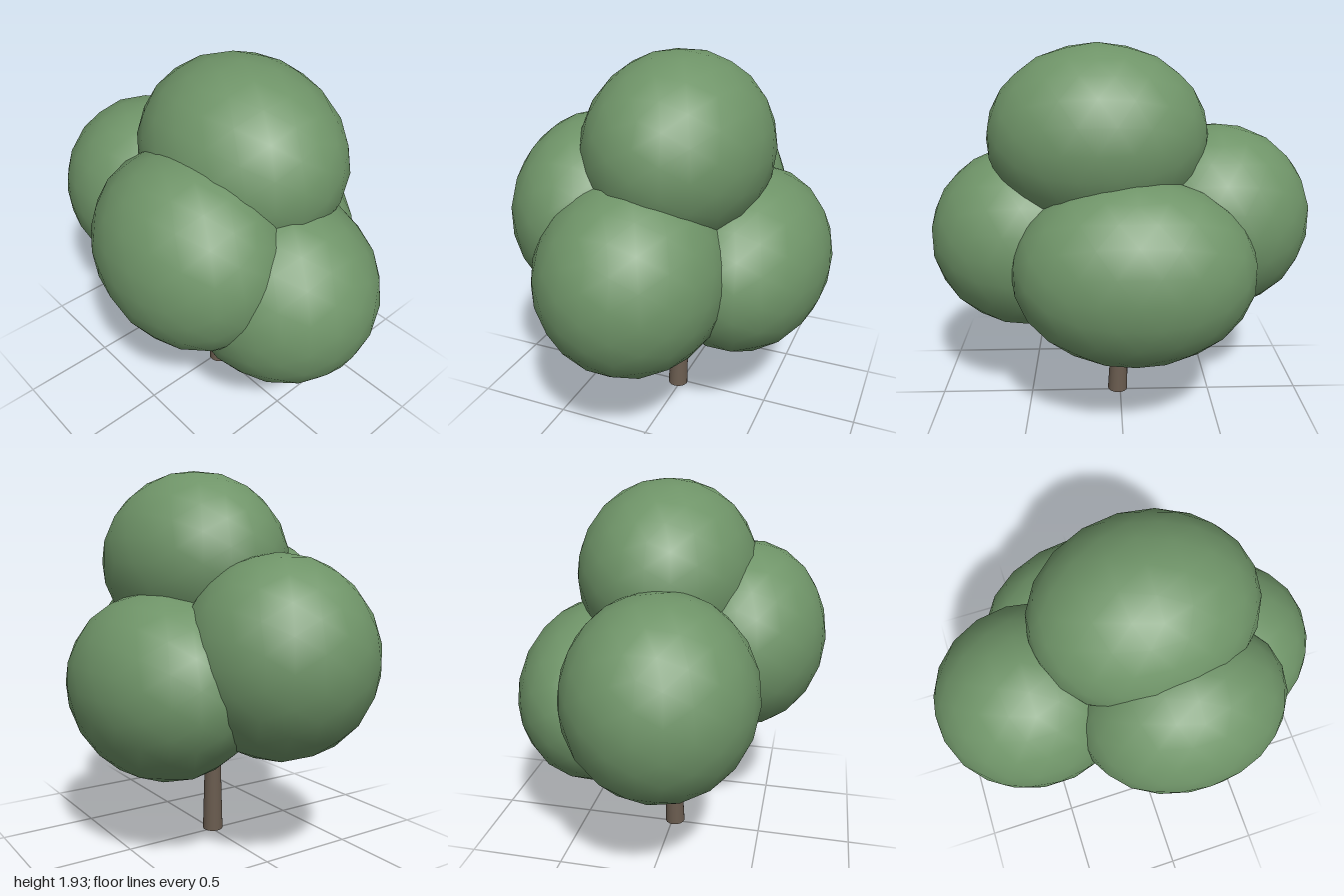
import * as THREE from 'three';

const V = (x, y, z) => new THREE.Vector3(x, y, z);

// Tapered limb between two points
function limb(name, from, to, r0, r1, sides, material) {
  const dir = to.clone().sub(from);
  const mesh = new THREE.Mesh(new THREE.CylinderGeometry(r1, r0, dir.length(), sides), material);
  mesh.name = name;
  mesh.position.copy(from).add(to).multiplyScalar(0.5);
  mesh.quaternion.setFromUnitVectors(V(0, 1, 0), dir.normalize());
  return mesh;
}

export function createModel() {
  const leaf = new THREE.MeshStandardMaterial({ color: 0x6f9468 });
  leaf.name = 'leafGreen';
  const bark = new THREE.MeshStandardMaterial({ color: 0x6b5d50 });
  bark.name = 'barkBrown';

  const tree = new THREE.Group();
  tree.name = 'tree';

  // Trunk, leaning slightly, with its continuation up into the crown
  const fork = V(-0.005, 0.42, 0);
  tree.add(limb('trunk', V(-0.015, 0, 0.015), fork, 0.055, 0.043, 16, bark));
  tree.add(limb('upperTrunk', fork, V(0.01, 1.1, 0.06), 0.036, 0.022, 12, bark));

  // Foliage clumps: name, centre, radii
  const clumps = [
    ['topFoliage', V(0.04, 1.455, 0.115), V(0.465, 0.47, 0.56)],
    ['frontFoliage', V(-0.05, 0.92, 0.49), V(0.465, 0.485, 0.51)],
    ['backFoliage', V(-0.05, 1.015, -0.5), V(0.47, 0.495, 0.5)],
    ['leftFoliage', V(0.35, 0.85, -0.06), V(0.435, 0.47, 0.605)],
    ['rightFoliage', V(-0.36, 1.12, 0.19), V(0.425, 0.49, 0.53)],
  ];
  const ball = new THREE.IcosahedronGeometry(1, 3);
  clumps.forEach(([name, centre, radii], i) => {
    const mesh = new THREE.Mesh(ball, leaf);
    mesh.name = name;
    mesh.position.copy(centre);
    mesh.scale.copy(radii);
    tree.add(mesh);
    // Branch from the fork towards each side clump
    if (i > 0) {
      const start = fork.clone().add(V(0, -0.02, 0));
      tree.add(limb(name.replace('Foliage', 'Branch'), start, start.clone().lerp(centre, 0.75), 0.025, 0.018, 10, bark));
    }
  });
  return tree;
}
